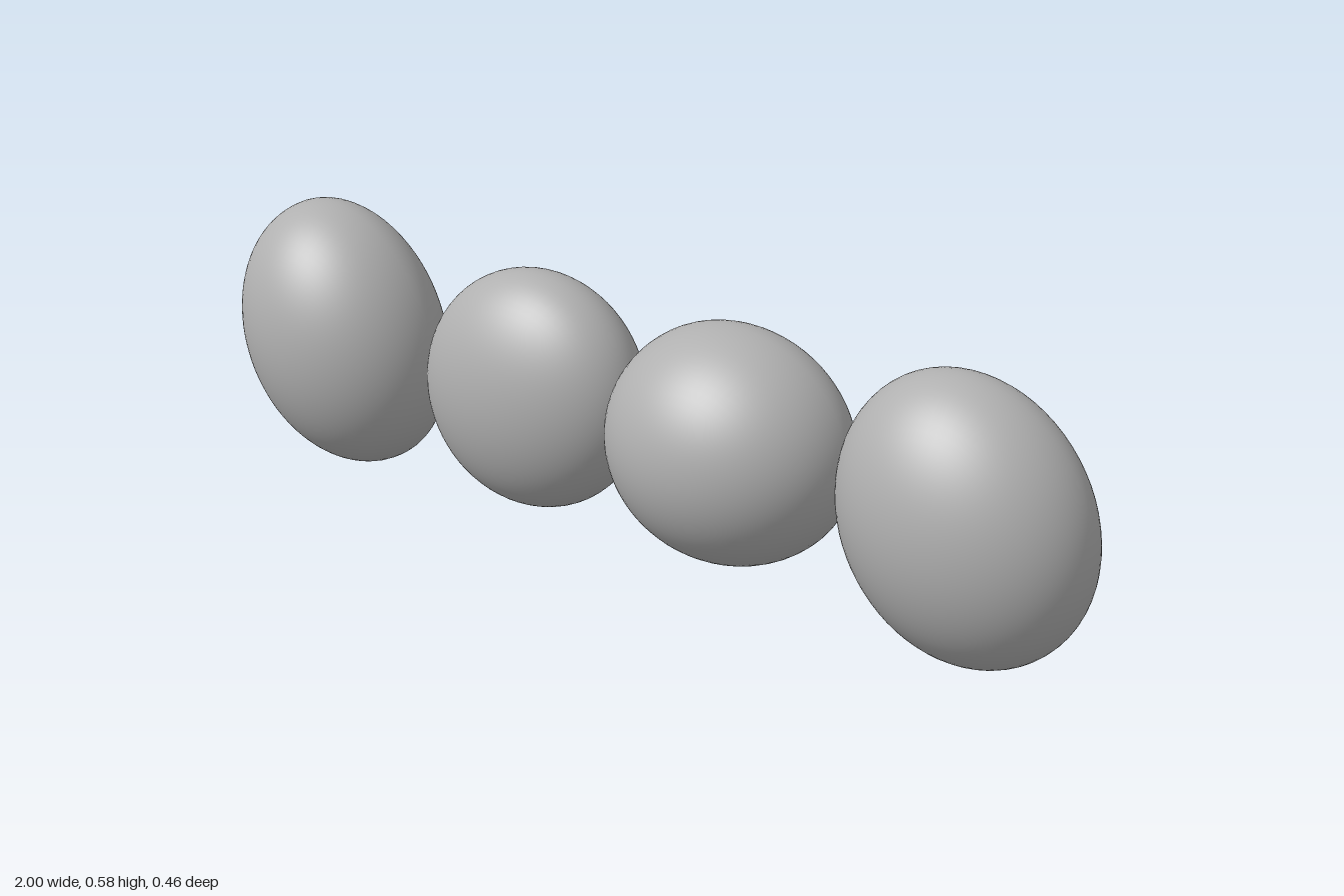
import * as THREE from 'three';

export function createModel() {
  const group = new THREE.Group();
  const stoneGrey = new THREE.MeshStandardMaterial({ color: 0xb0b0b0 });
  stoneGrey.name = 'stoneGrey';
  const pegGrey = new THREE.MeshStandardMaterial({ color: 0xb0b0b0, side: THREE.DoubleSide, flatShading: true });
  pegGrey.name = 'pegGrey';

  // Ellipsoid whose front and back halves have different depths
  function pebble(a, b, front, back) {
    const geo = new THREE.SphereGeometry(1, 64, 40);
    geo.rotateX(Math.PI / 2); // poles on the z axis
    const p = geo.attributes.position;
    const n = geo.attributes.normal;
    const v = new THREE.Vector3();
    for (let i = 0; i < p.count; i++) {
      const depth = p.getZ(i) > 0 ? front : back;
      v.set(p.getX(i) / a, p.getY(i) / b, p.getZ(i) / depth).normalize();
      n.setXYZ(i, v.x, v.y, v.z);
      p.setXYZ(i, p.getX(i) * a, p.getY(i) * b, p.getZ(i) * depth);
    }
    return geo;
  }

  const pebbles = [
    { x: -0.76, y: 0.3, z: 0, a: 0.23, b: 0.293, front: 0.212, back: 0.173, tilt: 22 },
    { x: -0.26, y: 0.283, z: -0.015, a: 0.251, b: 0.2615, front: 0.163, back: 0.163, tilt: -50 },
    { x: 0.238, y: 0.302, z: 0.005, a: 0.258, b: 0.237, front: 0.227, back: 0.178, tilt: -5 },
    { x: 0.743, y: 0.283, z: 0, a: 0.2445, b: 0.2846, front: 0.199, back: 0.171, tilt: 26 },
  ];

  pebbles.forEach((s, i) => {
    const unit = new THREE.Group();
    unit.name = `pebbleUnit${i + 1}`;
    unit.position.set(s.x, s.y, 0);

    const body = new THREE.Mesh(pebble(s.a, s.b, s.front, s.back), stoneGrey);
    body.name = 'pebble';
    body.position.z = s.z;
    body.rotation.z = THREE.MathUtils.degToRad(s.tilt);

    // Hollow flared peg on the back
    const peg = new THREE.Mesh(new THREE.CylinderGeometry(0.018, 0.023, 0.083, 8, 1, true), pegGrey);
    peg.name = 'backPeg';
    peg.rotation.x = Math.PI / 2;
    peg.position.z = -0.1915;

    unit.add(body, peg);
    group.add(unit);
  });
  return group;
}
